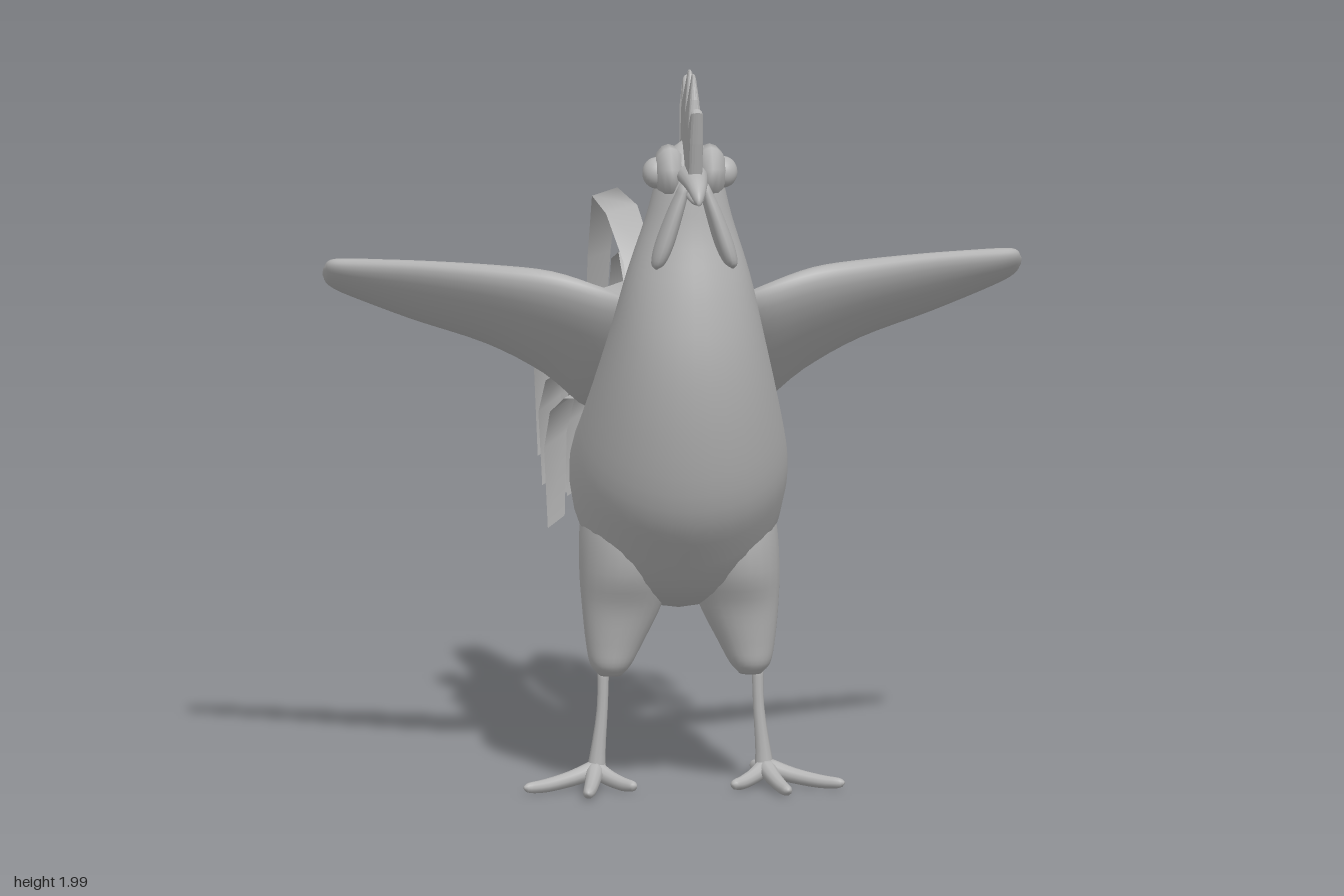
import * as THREE from 'three';

const V = (x, y, z) => new THREE.Vector3(x, y, z);

// Smooth closed skin through elliptical sections [centre, half axis u, half axis v]
function loft(sections, steps = 4, sides = 24) {
  const curves = [0, 1, 2].map(k =>
    new THREE.CatmullRomCurve3(sections.map(s => s[k]), false, 'catmullrom', 0.5));
  const n = (sections.length - 1) * steps;
  const pos = [], idx = [];
  for (let i = 0; i <= n; i++) {
    const [c, u, v] = curves.map(q => q.getPoint(i / n));
    for (let j = 0; j < sides; j++) {
      const a = j / sides * Math.PI * 2;
      const p = c.clone().addScaledVector(u, Math.cos(a)).addScaledVector(v, Math.sin(a));
      pos.push(p.x, p.y, p.z);
    }
  }
  for (let i = 0; i < n; i++) for (let j = 0; j < sides; j++) {
    const k = (j + 1) % sides, a = i * sides + j, b = i * sides + k, c = a + sides, d = b + sides;
    idx.push(a, b, d, a, d, c);
  }
  // end caps
  [0, n].forEach(i => {
    const c = curves[0].getPoint(i / n), m = pos.length / 3;
    pos.push(c.x, c.y, c.z);
    for (let j = 0; j < sides; j++) {
      const a = i * sides + j, b = i * sides + (j + 1) % sides;
      if (i === 0) idx.push(m, b, a); else idx.push(m, a, b);
    }
  });
  // turn the faces outwards
  let volume = 0;
  const at = i => V(pos[3 * i], pos[3 * i + 1], pos[3 * i + 2]);
  for (let i = 0; i < idx.length; i += 3) volume += at(idx[i]).dot(at(idx[i + 1]).cross(at(idx[i + 2])));
  if (volume < 0) idx.reverse();
  const g = new THREE.BufferGeometry();
  g.setAttribute('position', new THREE.Float32BufferAttribute(pos, 3));
  g.setIndex(idx);
  g.computeVertexNormals();
  return g;
}

// Tapering round limb through [x, y, z, radius] points
function limb(points) {
  const p = points.map(q => V(q[0], q[1], q[2]));
  return loft(points.map((q, i) => {
    const t = p[Math.min(i + 1, p.length - 1)].clone().sub(p[Math.max(i - 1, 0)]).normalize();
    const u = V(0, 1, 0).cross(t);
    if (u.length() < 0.3) u.set(1, 0, 0);
    u.normalize();
    return [p[i], u.clone().multiplyScalar(q[3]), t.clone().cross(u).multiplyScalar(q[3])];
  }), 3, 10);
}

// Feather paths: [share of reach, share of height, share of width]
const ARCH = [[0, 0, 0.7], [0.22, 0.68, 0.9], [0.5, 1, 1], [0.83, 0.88, 1], [1, 0.6, 0.95], [0.98, 0, 0.7]];
const SICKLE = [[0, 0, 0.7], [0.2, 0.77, 0.9], [0.48, 0.99, 1], [0.79, 1, 0.9], [0.9, 0.65, 0.85], [1, 0, 0.65]];

// Arched ribbon feather that twists outwards towards its tip
function feather(side, path, [x0, x1, reach, peak, endY]) {
  const baseY = 1.01, pos = [], idx = [];
  const roll = Math.min(0.45, x1 * 1.5);
  path.forEach(([f, h, width], i) => {
    const low = i < 3 ? baseY : endY, yaw = 0.15 + 0.5 * f;
    const c = V(x0 + (x1 - x0) * Math.pow(f, 0.7), low + (peak - low) * h, -0.03 - reach * f);
    const w = V(Math.cos(yaw) * Math.cos(roll), -Math.sin(roll), Math.sin(yaw));
    for (const s of [-1, 1]) {
      const p = c.clone().addScaledVector(w, s * width * 0.048);
      pos.push(side * p.x, p.y, p.z);
    }
    if (i) { const a = 2 * i - 2; idx.push(a, a + 1, a + 3, a, a + 3, a + 2); }
  });
  const g = new THREE.BufferGeometry();
  g.setAttribute('position', new THREE.Float32BufferAttribute(pos, 3));
  g.setIndex(side > 0 ? idx : idx.reverse());
  g.computeVertexNormals();
  return g;
}

export function createModel() {
  const root = new THREE.Group();
  root.name = 'rooster';
  const grey = new THREE.MeshStandardMaterial({ color: 0xb4b4b4, side: THREE.DoubleSide });
  grey.name = 'grey';
  const add = (name, geometry, parent = root) => {
    const m = new THREE.Mesh(geometry, grey);
    m.name = name;
    parent.add(m);
  };

  // Body and neck: [back z, back y, belly z, belly y, half width]
  const body = [
    [0.62, 1.80, 0.66, 1.79, 0.02], [0.575, 1.755, 0.72, 1.72, 0.075], [0.53, 1.62, 0.74, 1.56, 0.115],
    [0.46, 1.48, 0.78, 1.38, 0.165], [0.36, 1.33, 0.797, 1.2, 0.205], [0.25, 1.2, 0.775, 1.0, 0.245],
    [0.13, 1.09, 0.72, 0.8, 0.28], [0.05, 1.06, 0.63, 0.67, 0.29], [-0.02, 1.06, 0.49, 0.53, 0.28],
    [-0.06, 1.05, 0.3, 0.48, 0.245], [-0.1, 1.02, 0.15, 0.53, 0.207], [-0.14, 0.97, 0, 0.57, 0.175],
    [-0.17, 0.89, -0.1, 0.61, 0.115], [-0.18, 0.78, -0.16, 0.69, 0.035],
  ];
  add('body', loft(body.map(([tz, ty, bz, by, w]) => [
    V(0, (ty + by) / 2, (tz + bz) / 2), V(w, 0, 0), V(0, (ty - by) / 2, (tz - bz) / 2),
  ]), 4, 32));

  // Comb, drawn in the side plane, bevelled and thinned towards its points
  const combShape = new THREE.Shape([
    [0.81, 1.73], [0.835, 1.82], [0.857, 1.905], [0.845, 1.91], [0.80, 1.86], [0.785, 1.93], [0.764, 1.99],
    [0.75, 1.99], [0.73, 1.93], [0.71, 1.89], [0.685, 1.94], [0.662, 1.985], [0.648, 1.985], [0.625, 1.94],
    [0.603, 1.905], [0.58, 1.94], [0.56, 1.955], [0.55, 1.945], [0.55, 1.87], [0.565, 1.74],
  ].map(([z, y]) => new THREE.Vector2(-z, y)));
  const comb = new THREE.ExtrudeGeometry(combShape, {
    depth: 0.006, bevelThickness: 0.016, bevelSize: 0.012, bevelOffset: -0.007, bevelSegments: 3,
  }).translate(0, 0, -0.003).rotateY(Math.PI / 2);
  const cp = comb.attributes.position;
  for (let i = 0; i < cp.count; i++) cp.setX(i, cp.getX(i) * Math.min(1, (2.04 - cp.getY(i)) / 0.16));
  comb.computeVertexNormals();
  add('comb', comb);

  // Beak halves: [z, y, half width, half height]
  const beak = rings => loft(rings.map(([z, y, w, h]) => [V(0, y, z), V(w, 0, 0), V(0, h, 0)]), 4, 16);
  add('upperBeak', beak([[0.68, 1.715, 0.045, 0.03], [0.78, 1.713, 0.036, 0.027],
    [0.86, 1.703, 0.026, 0.024], [0.9, 1.683, 0.014, 0.019], [0.915, 1.672, 0.004, 0.008]]));
  add('lowerBeak', beak([[0.68, 1.675, 0.032, 0.02], [0.79, 1.675, 0.027, 0.017],
    [0.86, 1.67, 0.018, 0.012], [0.895, 1.667, 0.004, 0.004]]));

  for (const side of [1, -1]) {
    const half = new THREE.Group();
    half.name = side > 0 ? 'leftSide' : 'rightSide';
    root.add(half);
    // mirror the shape and keep its faces outwards
    const mirrored = (name, g) => {
      if (side < 0) {
        g.scale(-1, 1, 1);
        g.index.array.reverse();
      }
      add(name, g, half);
    };

    // Wing: [x, front z, front y, back z, back y, half thickness]
    const wing = [
      [0.13, 0.47, 1.33, 0.17, 1.05, 0.045], [0.22, 0.51, 1.37, 0.12, 1.0, 0.075],
      [0.35, 0.495, 1.405, 0.15, 1.11, 0.08], [0.5, 0.435, 1.415, 0.143, 1.19, 0.068],
      [0.7, 0.325, 1.417, 0.11, 1.25, 0.05], [0.86, 0.24, 1.41, 0.085, 1.31, 0.038],
      [0.92, 0.205, 1.405, 0.1, 1.34, 0.026], [0.937, 0.17, 1.385, 0.14, 1.365, 0.006],
    ];
    mirrored('wing', loft(wing.map(([x, fz, fy, bz, by, t]) => {
      const u = V(0, (fy - by) / 2, (fz - bz) / 2);
      return [V(x, (fy + by) / 2, (fz + bz) / 2), u, V(0, u.z, -u.y).normalize().multiplyScalar(t)];
    })));

    // Eye with its rounded patch, and wattle
    mirrored('eyePatch', new THREE.SphereGeometry(1, 7, 8).rotateZ(Math.PI / 2)
      .scale(0.045, 0.078, 0.08).translate(0.055, 1.715, 0.655));
    mirrored('eye', new THREE.SphereGeometry(0.042, 24, 16).scale(0.9, 1, 1).translate(0.09, 1.713, 0.655));
    mirrored('wattle', loft([
      [V(0.025, 1.70, 0.78), V(0.014, 0, 0), V(0, 0, 0.035)], [V(0.05, 1.63, 0.78), V(0.022, 0, 0), V(0, 0, 0.047)],
      [V(0.08, 1.54, 0.778), V(0.026, 0, 0), V(0, 0, 0.05)], [V(0.097, 1.49, 0.782), V(0.019, 0, 0), V(0, 0, 0.034)],
      [V(0.103, 1.473, 0.785), V(0.003, 0, 0), V(0, 0, 0.006)],
    ], 4, 14));

    // Thigh, flaring into the body: [y, x, half width, half depth, z]
    const thigh = [[0.86, 0.11, 0.12, 0.2, 0.3], [0.72, 0.13, 0.132, 0.21, 0.33], [0.6, 0.145, 0.124, 0.17, 0.36],
      [0.5, 0.157, 0.107, 0.1, 0.385], [0.4, 0.177, 0.077, 0.07, 0.39], [0.34, 0.187, 0.055, 0.055, 0.392],
      [0.31, 0.188, 0.03, 0.03, 0.392]];
    mirrored('thigh', loft(thigh.map(([y, x, w, d, z]) => [V(x, y, z), V(w, 0, 0), V(0, 0, d)])));

    // Shank and toes
    mirrored('shank', limb([[0.207, 0.34, 0.39, 0.016], [0.21, 0.22, 0.392, 0.015],
      [0.222, 0.1, 0.392, 0.021], [0.228, 0.03, 0.39, 0.03]]));
    for (const [x, z] of [[0.43, 0.5], [0.27, 0.615], [0.13, 0.5], [0.22, 0.155]]) {
      const mix = (f, y, r) => [0.228 + (x - 0.228) * f, y, 0.39 + (z - 0.39) * f, r];
      mirrored('toe', limb([mix(0, 0.055, 0.026), mix(0.35, 0.036, 0.021), mix(0.7, 0.025, 0.018),
        mix(0.93, 0.024, 0.014), mix(1, 0.026, 0.004)]));
    }

    // Tail feathers: [base x, tip x, reach, peak y, tip y]
    add('sickleFeather', side > 0 ? feather(side, ARCH, [0.05, 0.11, 0.75, 1.4, 0.78])
      : feather(side, SICKLE, [0.03, 0.11, 0.86, 1.435, 0.9]), half);
    const plumes = [
      [0.045, 0.06, 0.62, 1.34, 0.92], [0.07, 0.15, 0.64, 1.24, 0.74], [0.08, 0.27, 0.56, 1.22, 0.76],
      [0.1, 0.21, 0.51, 1.16, 0.72], [0.08, 0.14, 0.46, 1.12, 0.61], [0.12, 0.25, 0.39, 1.11, 0.66],
      [0.13, 0.28, 0.32, 1.06, 0.72], [0.09, 0.18, 0.36, 1.05, 0.68], [0.1, 0.22, 0.24, 1.03, 0.7],
      [0.14, 0.28, 0.16, 1.0, 0.63],
    ];
    plumes.forEach(p => add('tailFeather', feather(side, ARCH, p), half));
  }
  return root;
}
